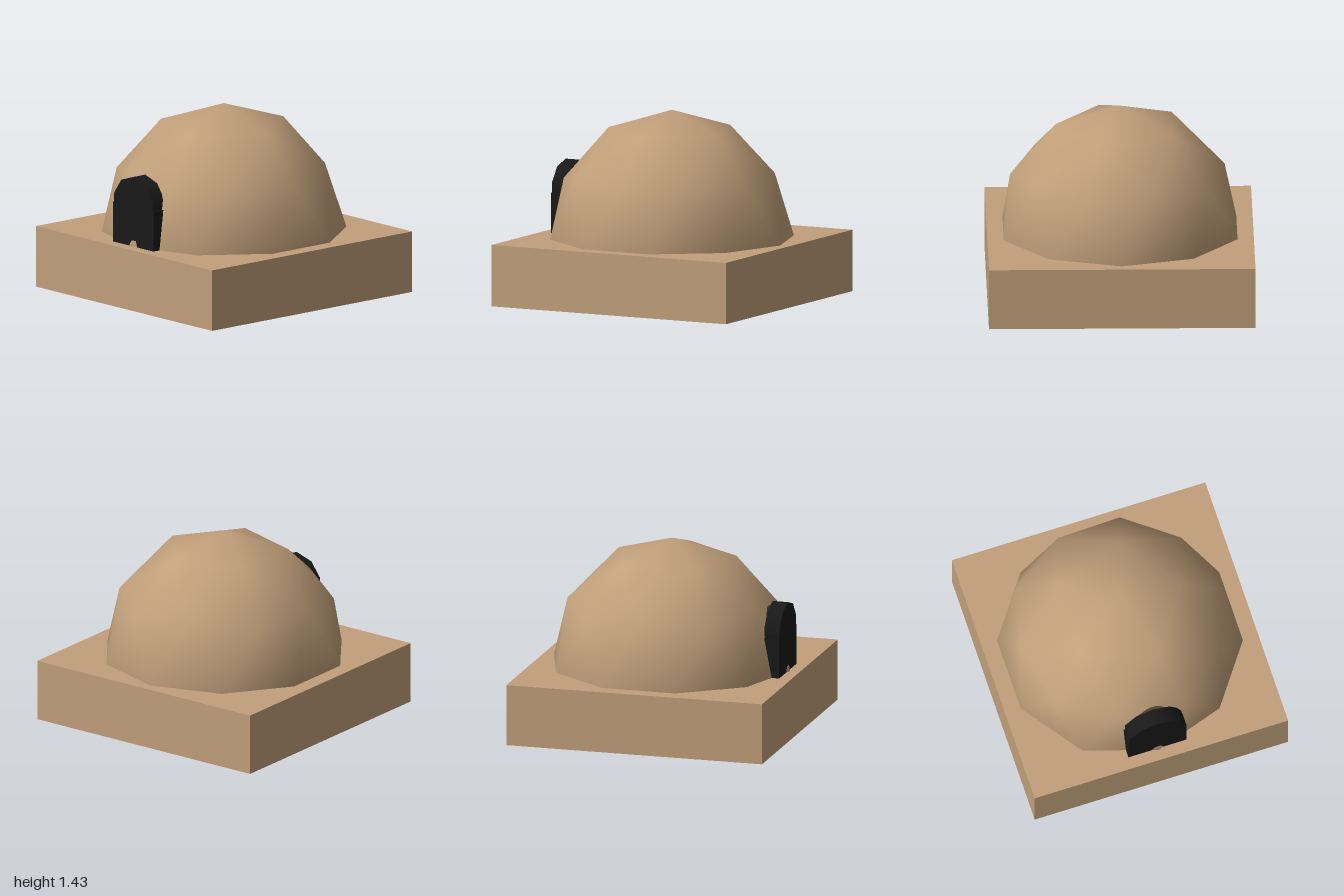
import * as THREE from 'three';

const makeMaterial = (name, color) => {
  const material = new THREE.MeshStandardMaterial({ color });
  material.name = name;
  return material;
};
const clay = makeMaterial('clay', 0xc19f7a);
const dark = makeMaterial('dark', 0x191919);
const earth = makeMaterial('earth', 0x554b35);

const BASE_TOP = 0.465;
const ARCH_Y = 0.77;

// Upper half of a once-subdivided icosahedron, with smooth normals
function domeGeometry(radius, height) {
  const positions = [];
  const normals = [];
  const index = [];
  const add = (angle, y) => {
    const a = THREE.MathUtils.degToRad(angle);
    const r = Math.sqrt(1 - y * y);
    const x = r * Math.cos(a);
    const z = r * Math.sin(a);
    positions.push(x * radius, y * height, z * radius);
    const n = new THREE.Vector3(x / radius, y / height, z / radius).normalize();
    normals.push(n.x, n.y, n.z);
  };

  add(0, 1); // apex
  for (let i = 0; i < 5; i++) add(72 * i, 0.851); // cap ring
  for (let j = 0; j < 10; j++) add(36 * j, j % 2 ? 0.526 : 0.447); // zigzag ring
  for (let j = 0; j < 10; j++) add(18 + 36 * j, 0); // rim

  const cap = (i) => 1 + (i % 5);
  const mid = (j) => 6 + (j % 10);
  const rim = (j) => 16 + ((j + 10) % 10);
  for (let i = 0; i < 5; i++) {
    const j = 2 * i;
    index.push(0, cap(i + 1), cap(i));
    index.push(cap(i), mid(j + 1), mid(j));
    index.push(cap(i + 1), mid(j + 2), mid(j + 1));
    index.push(cap(i), cap(i + 1), mid(j + 1));
  }
  for (let j = 0; j < 10; j++) {
    index.push(mid(j), rim(j), rim(j - 1));
    index.push(mid(j), mid(j + 1), rim(j));
  }

  const geometry = new THREE.BufferGeometry();
  geometry.setAttribute('position', new THREE.Float32BufferAttribute(positions, 3));
  geometry.setAttribute('normal', new THREE.Float32BufferAttribute(normals, 3));
  geometry.setIndex(index);
  return geometry;
}

// Half-round face laid onto the dome surface
function recessGeometry(dome, radius) {
  const geometry = new THREE.RingGeometry(0, radius, 16, 8, 0, Math.PI);
  const points = geometry.attributes.position;
  const ray = new THREE.Raycaster();
  const back = new THREE.Vector3(0, 0, -1);
  dome.updateMatrixWorld();
  for (let i = 0; i < points.count; i++) {
    const x = points.getX(i);
    const y = points.getY(i) + ARCH_Y;
    ray.set(new THREE.Vector3(x, y, 2), back);
    points.setXYZ(i, x, y, ray.intersectObject(dome)[0].point.z + 0.006);
  }
  geometry.computeVertexNormals();
  return geometry;
}

function addMesh(parent, name, geometry, material, x, y, z) {
  const mesh = new THREE.Mesh(geometry, material);
  mesh.name = name;
  mesh.position.set(x, y, z);
  parent.add(mesh);
  return mesh;
}

export function createModel() {
  const model = new THREE.Group();
  model.name = 'domeHouse';

  // Square plinth with a dark underside, and the faceted dome
  const sides = [clay, clay, clay, earth, clay, clay];
  addMesh(model, 'base', new THREE.BoxGeometry(2, BASE_TOP, 2), sides, 0, BASE_TOP / 2, 0);
  const dome = addMesh(model, 'dome', domeGeometry(0.922, 0.967), clay, 0, BASE_TOP, 0);

  // Doorway: upright block with a ten-sided round top, dark recess behind it
  const door = new THREE.Group();
  door.name = 'doorway';
  const depth = 0.12;
  const z = 0.847;
  const h = ARCH_Y - BASE_TOP;
  addMesh(door, 'doorBlock', new THREE.BoxGeometry(0.46, h, depth), dark, 0, BASE_TOP + h / 2, z);
  const arch = new THREE.CylinderGeometry(0.23, 0.23, depth, 10);
  arch.rotateX(-Math.PI / 2); // puts one corner straight up
  addMesh(door, 'doorArch', arch, dark, 0, ARCH_Y, z);
  addMesh(door, 'doorRecess', recessGeometry(dome, 0.19), earth, 0, 0, 0);
  model.add(door);

  return model;
}
